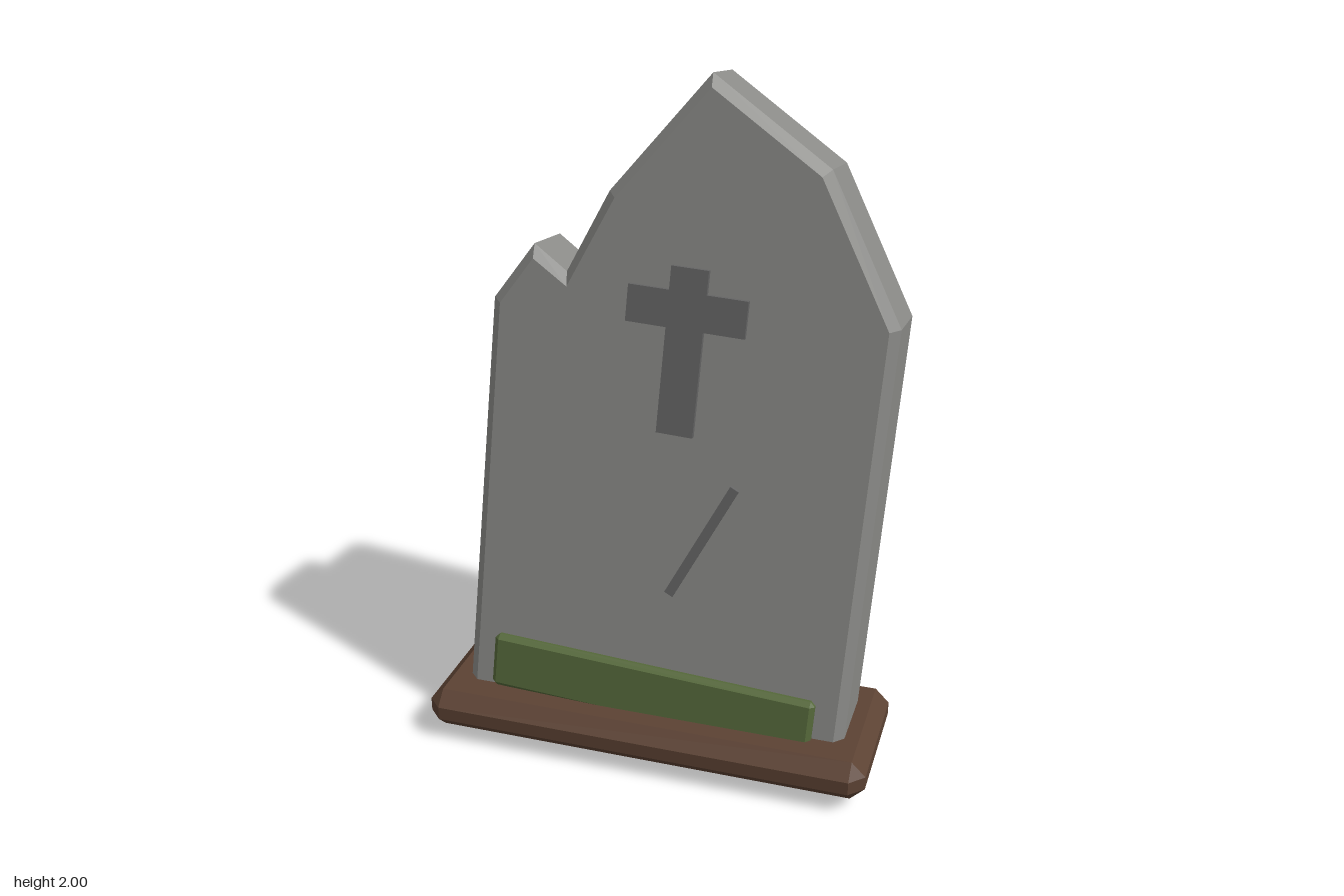
import * as THREE from 'three';
import { ConvexGeometry } from 'three/addons/geometries/ConvexGeometry.js';

const paint = (color) => new THREE.MeshStandardMaterial({ color, flatShading: true });
const STONE = paint(0x8a8a87);
const CARVING = paint(0x656565);
const MOSS = paint(0x55683a);
const EARTH = paint(0x5c4233);

function part(name, geometry, material, x = 0, y = 0, z = 0) {
  const mesh = new THREE.Mesh(geometry, material);
  mesh.name = name;
  mesh.position.set(x, y, z);
  return mesh;
}

// Box with all edges cut at 45 degrees and triangular corners
function chamferedBox(w, h, d, c) {
  const points = [];
  for (const sx of [-1, 1]) for (const sy of [-1, 1]) for (const sz of [-1, 1]) {
    for (let axis = 0; axis < 3; axis++) {
      const inset = [c, c, c];
      inset[axis] = 0;
      points.push(new THREE.Vector3(
        sx * (w / 2 - inset[0]), sy * (h / 2 - inset[1]), sz * (d / 2 - inset[2])));
    }
  }
  return new ConvexGeometry(points);
}

const outline = (pairs) => new THREE.Shape(pairs.map(([x, y]) => new THREE.Vector2(x, y)));

export function createModel() {
  const model = new THREE.Group();
  model.name = 'gravestone';

  // Plinth
  model.add(part('base', chamferedBox(1.35, 0.125, 0.475, 0.042), EARTH, 0, 0.0925, 0.077));

  // Everything fixed to the slab leans back and to one side
  const leaning = new THREE.Group();
  leaning.name = 'leaningStone';
  leaning.position.set(0, 0.04, 0.08);
  leaning.rotation.set(THREE.MathUtils.degToRad(-8), 0, THREE.MathUtils.degToRad(-3));
  model.add(leaning);

  // Slab with pointed top and a broken notch
  const slab = new THREE.ExtrudeGeometry(outline([
    [-0.587, 0.005], [0.585, 0.005], [0.585, 1.356], [0.348, 1.754], [-0.003, 1.968],
    [-0.265, 1.62], [-0.373, 1.377], [-0.476, 1.443], [-0.587, 1.271],
  ]), {
    depth: 0.2, bevelEnabled: true, bevelSegments: 1,
    bevelThickness: 0.028, bevelSize: 0.028, bevelOffset: -0.028,
  });
  leaning.add(part('slab', slab, STONE, 0, 0, -0.1));

  // Raised cross
  const [w, arm, top, bottom, armTop, armBottom] = [0.054, 0.173, 1.446, 0.966, 1.378, 1.272];
  const cross = new THREE.ExtrudeGeometry(outline([
    [-w, bottom], [w, bottom], [w, armBottom], [arm, armBottom], [arm, armTop], [w, armTop],
    [w, top], [-w, top], [-w, armTop], [-arm, armTop], [-arm, armBottom], [-w, armBottom],
  ]), { depth: 0.03, bevelEnabled: false });
  leaning.add(part('cross', cross, CARVING, -0.003, 0, 0.113));

  // Slanted crack
  const crack = part('crack', new THREE.BoxGeometry(0.028, 0.39, 0.025), CARVING, 0.106, 0.661, 0.127);
  crack.rotation.z = THREE.MathUtils.degToRad(-24.5);
  leaning.add(crack);

  // Moss strip along the foot
  leaning.add(part('moss', chamferedBox(0.996, 0.17, 0.06, 0.014), MOSS, -0.005, 0.158, 0.122));

  return model;
}
